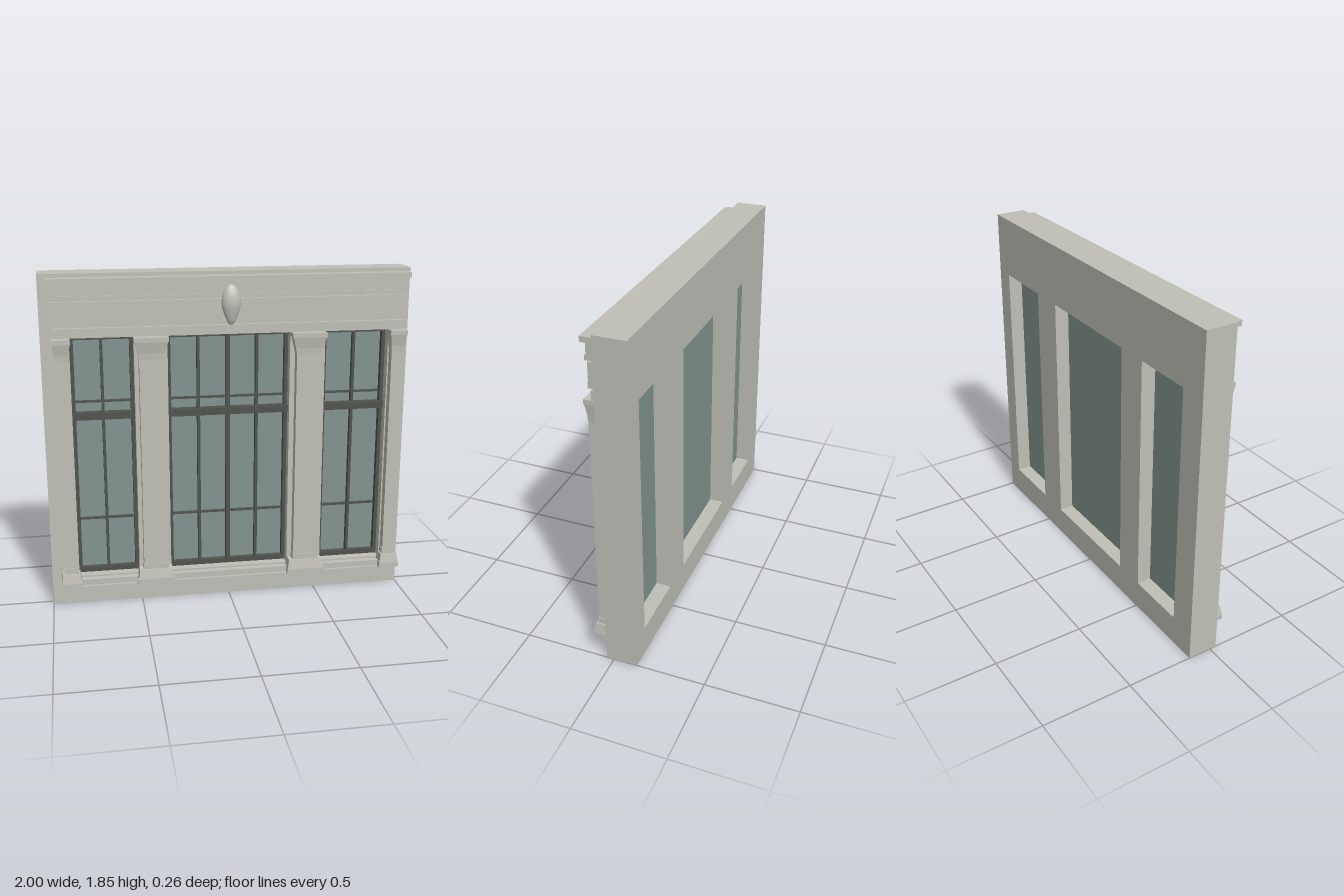
import * as THREE from 'three';

export function createModel() {
  const model = new THREE.Group();
  model.name = 'windowFacade';
  const material = (name, color) => {
    const m = new THREE.MeshStandardMaterial({ color });
    m.name = name;
    return m;
  };
  const stone = material('stone', 0xc0c0b8);
  const glass = material('glass', 0x82948f);
  const frame = material('windowFrame', 0x50524d);

  const add = (parent, name, geometry, mat) => {
    const mesh = new THREE.Mesh(geometry, mat);
    mesh.name = name;
    parent.add(mesh);
    return mesh;
  };
  const box = (parent, name, x0, x1, y0, y1, z0, z1, mat) => {
    const g = new THREE.BoxGeometry(x1 - x0, y1 - y0, z1 - z0);
    g.translate((x0 + x1) / 2, (y0 + y1) / 2, (z0 + z1) / 2);
    return add(parent, name, g, mat);
  };
  const group = (name) => {
    const g = new THREE.Group();
    g.name = name;
    model.add(g);
    return g;
  };

  const WALL = 0.04; // front face of the wall
  const Y0 = 0.163, Y1 = 1.512; // height range of the openings
  const windows = [
    { name: 'rightWindow', x0: -0.85, x1: -0.512, bars: [-0.683] },
    { name: 'centreWindow', x0: -0.332, x1: 0.338, bars: [-0.16, 0.003, 0.165] },
    { name: 'leftWindow', x0: 0.535, x1: 0.892, bars: [0.713] },
  ];

  // Wall with three openings
  const rect = (shape, x0, x1, y0, y1) =>
    shape.moveTo(x0, y0).lineTo(x1, y0).lineTo(x1, y1).lineTo(x0, y1).closePath();
  const outline = rect(new THREE.Shape(), -1, 1, 0, 1.85);
  for (const w of windows) outline.holes.push(rect(new THREE.Path(), w.x0, w.x1, Y0, Y1));
  const wall = new THREE.ExtrudeGeometry(outline, { depth: 0.17, bevelEnabled: false });
  wall.translate(0, 0, WALL - 0.17);
  add(model, 'wall', wall, stone);

  // Windows: pane, surround, transom, upright bars and thin cross bars
  for (const { name, x0, x1, bars } of windows) {
    const g = group(name);
    const zb = -0.045, zf = -0.01, t = 0.02;
    box(g, 'pane', x0, x1, Y0, Y1, zb - 0.004, zb + 0.004, glass);
    box(g, 'frameSide', x0, x0 + t, Y0, Y1, zb, zf, frame);
    box(g, 'frameSide', x1 - t, x1, Y0, Y1, zb, zf, frame);
    box(g, 'frameBottom', x0 + t, x1 - t, Y0, Y0 + 0.027, zb, zf, frame);
    box(g, 'frameTop', x0 + t, x1 - t, Y1 - 0.018, Y1, zb, zf, frame);
    box(g, 'transom', x0, x1, 1.058, 1.096, zb, 0.01, frame);
    for (const x of bars) {
      const h = Math.abs(x) < 0.01 ? 0.012 : 0.008;
      box(g, 'uprightBar', x - h, x + h, Y0 + 0.027, Y1 - 0.018, zb, -0.014, frame);
    }
    for (const y of [0.48, 1.153])
      box(g, 'crossBar', x0 + t, x1 - t, y - 0.005, y + 0.005, zb, -0.022, frame);
  }

  // Block whose sides and front slope between a bottom and a top spread
  const block = (parent, name, x0, x1, y0, y1, s0, s1, z0, z1) => {
    const g = new THREE.BoxGeometry(1, 1, 1).toNonIndexed();
    const p = g.attributes.position;
    for (let i = 0; i < p.count; i++) {
      const top = p.getY(i) > 0;
      const s = top ? s1 : s0;
      p.setXYZ(i, p.getX(i) < 0 ? x0 - s : x1 + s, top ? y1 : y0,
        p.getZ(i) < 0 ? WALL : top ? z1 : z0);
    }
    g.computeVertexNormals();
    add(parent, name, g, stone);
  };

  // Pilasters: x range of the shaft and the spread of base and capital
  const pilasters = [
    [-0.928, -0.858, 0.013],
    [-0.489, -0.356, 0.026],
    [0.366, 0.505, 0.026],
    [0.9, 0.97, 0.013],
  ];
  for (const [x0, x1, s] of pilasters) {
    const g = group('pilaster');
    // [part, bottom, top, bottom spread, top spread, bottom front, top front]
    const parts = [
      ['baseSlab', 0.12, 0.147, s + 0.01, s + 0.01, 0.113, 0.113],
      ['baseSlope', 0.147, 0.2, s + 0.008, s, 0.112, 0.103],
      ['basePlinth', 0.2, 0.232, 0.004, 0.004, 0.093, 0.093],
      ['shaft', 0.232, 1.395, 0, 0, 0.088, 0.088],
      ['capitalNeck', 1.395, 1.43, 0, s * 0.25, 0.088, 0.09],
      ['capitalFlare', 1.43, 1.49, s * 0.25, s * 0.85, 0.09, 0.1],
      ['capitalSlab', 1.49, 1.515, s, s, 0.103, 0.103],
    ];
    for (const [name, ...dims] of parts) block(g, name, x0, x1, ...dims);
  }

  // Sill and entablature bands: [name, x0, x1, bottom, top, front]
  const bands = [
    ['lowerSill', -0.942, 0.977, 0.083, 0.12, 0.09],
    ['upperSill', -0.942, 0.977, 0.12, 0.153, 0.075],
    ['architrave', -0.94, 0.98, 1.517, 1.567, 0.063],
    ['friezeFoot', -0.94, 0.98, 1.575, 1.613, 0.077],
    ['frieze', -0.94, 0.98, 1.613, 1.707, 0.074],
    ['ledge', -0.94, 0.98, 1.712, 1.738, 0.087],
    ['corniceBed', -0.94, 0.98, 1.738, 1.802, 0.079],
    ['cornice', -0.955, 0.988, 1.802, 1.83, 0.103],
  ];
  for (const [name, x0, x1, y0, y1, z] of bands) box(model, name, x0, x1, y0, y1, WALL, z, stone);

  // Teardrop boss, turned and flattened with a plane back
  const profile = [[0, 1.572], [0.014, 1.577], [0.026, 1.6], [0.039, 1.632], [0.049, 1.665],
    [0.052, 1.692], [0.048, 1.725], [0.036, 1.757], [0.018, 1.779], [0, 1.786]];
  const boss = new THREE.LatheGeometry(profile.map(([x, y]) => new THREE.Vector2(x, y)),
    16, -Math.PI / 2, Math.PI);
  boss.scale(1, 1, 0.62);
  boss.translate(0.002, 0, 0.101);
  add(model, 'boss', boss, stone);
  const back = new THREE.Shape([...profile, ...profile.slice(1, -1).reverse().map(([x, y]) => [-x, y])]
    .map(([x, y]) => new THREE.Vector2(x, y)));
  const bossBack = add(model, 'bossBack', new THREE.ShapeGeometry(back), stone);
  bossBack.rotation.y = Math.PI;
  bossBack.position.set(0.002, 0, 0.101);

  return model;
}
